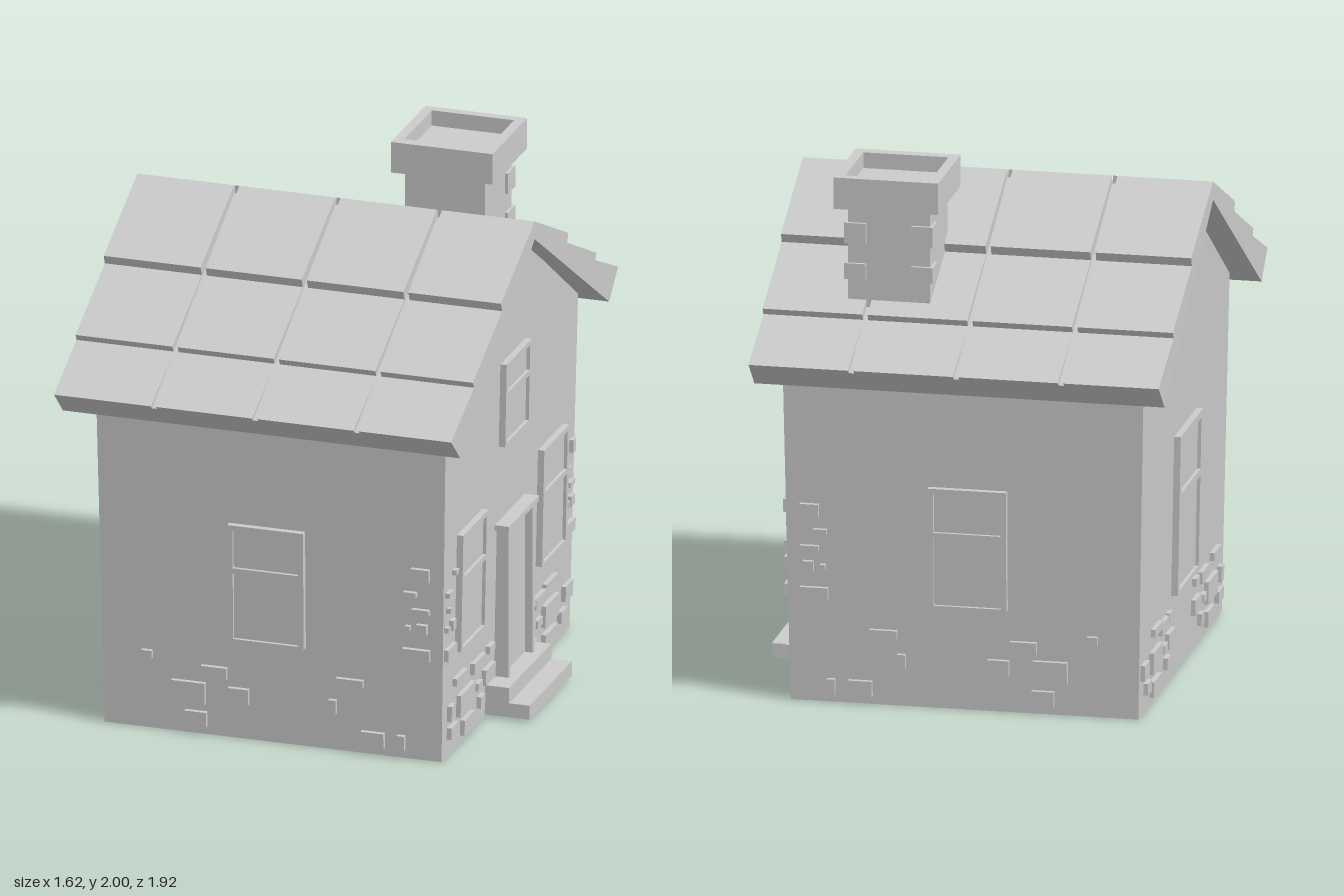
import * as THREE from 'three';

const mat = new THREE.MeshStandardMaterial({ color: 0xcccccc, flatShading: true });

function mesh(geo, name, parent) {
  const m = new THREE.Mesh(geo, mat);
  m.name = name;
  parent.add(m);
  return m;
}

// box given by its limits
function box(parent, name, x0, x1, y0, y1, z0, z1) {
  const m = mesh(new THREE.BoxGeometry(x1 - x0, y1 - y0, z1 - z0), name, parent);
  m.position.set((x0 + x1) / 2, (y0 + y1) / 2, (z0 + z1) / 2);
  return m;
}

function polygon(pts) {
  return new THREE.Shape(pts.map(p => new THREE.Vector2(p[0], p[1])));
}

const rect = (x0, x1, y0, y1) => [[x0, y0], [x1, y0], [x1, y1], [x0, y1]];

// (z, y) profile extruded along x from x0 to x1
function alongX(pts, x0, x1) {
  return new THREE.ExtrudeGeometry(polygon(pts), { depth: x1 - x0, bevelEnabled: false })
    .rotateY(-Math.PI / 2).translate(x1, 0, 0);
}

// flat plate with rectangular holes, facing +z
function plate(outer, holes, depth) {
  const s = polygon(outer);
  s.holes = holes.map(polygon);
  return new THREE.ExtrudeGeometry(s, { depth, bevelEnabled: false });
}

// two-pane window on a wall, x and y limits in the wall's own frame
function addWindow(wall, x0, x1, y0, y1) {
  const g = new THREE.Group();
  g.name = 'window';
  wall.add(g);
  const f = 0.07 * (x1 - x0), mid = y0 + 0.61 * (y1 - y0);
  mesh(plate(rect(x0, x1, y0, y1), [
    rect(x0 + f, x1 - f, y0 + f / 2, mid - f / 2),
    rect(x0 + f, x1 - f, mid + f / 2, y1 - f)], 0.035), 'windowFrame', g).position.z = -0.01;
  box(g, 'windowPane', x0 + f / 2, x1 - f / 2, y0 + f / 4, y1 - f / 2, -0.01, 0.012);
}

// bricks as [x0, x1, y0, y1] on a wall
function addBricks(wall, list) {
  for (const [x0, x1, y0, y1] of list) box(wall, 'brick', x0, x1, y0, y1, -0.02, 0.018);
}

// bricks along the eave walls, by x
const eaveBricks = [
  [-0.53, -0.49, 0.28, 0.31], [-0.30, -0.20, 0.23, 0.275], [-0.415, -0.285, 0.12, 0.205],
  [-0.195, -0.115, 0.14, 0.20], [-0.365, -0.28, 0.03, 0.09], [0.225, 0.33, 0.26, 0.29],
  [0.195, 0.225, 0.145, 0.20], [0.32, 0.41, 0.03, 0.09], [0.46, 0.49, 0.03, 0.09],
  [0.52, 0.59, 0.71, 0.76], [0.49, 0.54, 0.645, 0.665], [0.52, 0.59, 0.58, 0.60],
  [0.495, 0.515, 0.51, 0.53], [0.54, 0.58, 0.50, 0.54], [0.485, 0.59, 0.395, 0.44]];

// bricks along the foot of the gable walls, by z
const gableBricks = [
  [0.525, 0.65, 0.26, 0.29], [0.315, 0.445, 0.23, 0.275], [0.21, 0.27, 0.25, 0.28],
  [0.66, 0.705, 0.14, 0.20], [0.43, 0.60, 0.12, 0.205], [0.345, 0.40, 0.15, 0.18],
  [0.20, 0.31, 0.14, 0.20], [0.62, 0.705, 0.07, 0.115], [0.435, 0.55, 0.03, 0.09],
  [0.315, 0.365, 0.07, 0.115],
  [-0.515, -0.38, 0.26, 0.29], [-0.39, -0.265, 0.23, 0.275], [-0.26, -0.21, 0.25, 0.28],
  [-0.69, -0.605, 0.14, 0.20], [-0.535, -0.375, 0.12, 0.205], [-0.345, -0.285, 0.15, 0.18],
  [-0.26, -0.15, 0.14, 0.20], [-0.52, -0.38, 0.03, 0.09], [-0.285, -0.225, 0.07, 0.115],
  [-0.63, -0.56, 0.07, 0.115]];

// corner bricks higher up the door wall, by z
const cornerBricks = [
  [0.65, 0.68, 0.71, 0.73], [0.705, 0.755, 0.645, 0.665], [0.72, 0.74, 0.58, 0.60],
  [0.67, 0.705, 0.50, 0.54], [0.735, 0.76, 0.51, 0.53], [0.655, 0.755, 0.395, 0.44],
  [-0.69, -0.66, 0.71, 0.76], [-0.65, -0.60, 0.645, 0.665], [-0.69, -0.635, 0.58, 0.60],
  [-0.635, -0.615, 0.51, 0.53], [-0.69, -0.65, 0.50, 0.54], [-0.705, -0.605, 0.395, 0.44]];

export function createModel() {
  const house = new THREE.Group();
  house.name = 'house';

  // walls, leaning slightly outward towards the top
  const LEAN = 0.019;
  const body = alongX([[-0.71, 0], [0.76, 0], [0.76, 1.31], [0, 1.81], [-0.71, 1.31]], -0.68, 0.63);
  const p = body.attributes.position;
  for (let i = 0; i < p.count; i++) {
    const y = p.getY(i), z = p.getZ(i);
    p.setX(i, p.getX(i) + Math.sign(p.getX(i)) * LEAN * y);
    if (Math.abs(z) > 0.1) p.setZ(i, z + Math.sign(z) * LEAN * y);
  }
  body.computeVertexNormals();
  mesh(body, 'walls', house);

  // frames lying on each wall: local z points outward
  const wall = (name, x, z, turn) => {
    const g = new THREE.Group();
    g.name = name;
    g.position.set(x, 0, z);
    g.rotation.set(Math.atan(LEAN), turn, 0, 'YXZ');
    house.add(g);
    return g;
  };
  const front = wall('frontWallDetails', 0, 0.76, 0);
  const back = wall('backWallDetails', 0, -0.71, Math.PI);
  const left = wall('doorWallDetails', 0.63, 0, Math.PI / 2);
  const right = wall('rightWallDetails', -0.68, 0, -Math.PI / 2);
  const flip = list => list.map(([a, b, c, d]) => [-b, -a, c, d]);

  addBricks(front, eaveBricks);
  addBricks(back, flip(eaveBricks));
  addBricks(left, flip([...gableBricks, ...cornerBricks]));
  addBricks(right, gableBricks);

  addWindow(front, -0.19, 0.105, 0.39, 0.85);
  addWindow(back, -0.105, 0.19, 0.39, 0.85);
  addWindow(left, -0.63, -0.34, 0.39, 0.85);
  addWindow(left, 0.30, 0.59, 0.39, 0.85);
  addWindow(left, -0.16, 0.13, 1.03, 1.355);
  addWindow(right, -0.16, 0.235, 0.32, 0.93);

  // door with posts, lintel and two steps
  box(house, 'door', 0.6, 0.66, 0.1, 0.72, -0.12, 0.16);
  for (const z of [-0.13, 0.145]) box(house, 'doorPost', 0.6, 0.69, 0.1, 0.715, z, z + 0.02);
  box(house, 'doorLintel', 0.6, 0.7, 0.71, 0.73, -0.155, 0.19);
  box(house, 'upperStep', 0.6, 0.725, 0.01, 0.125, -0.22, 0.265);
  box(house, 'lowerStep', 0.6, 0.805, 0.01, 0.065, -0.22, 0.265);

  // roof slab
  const X0 = -0.81, X1 = 0.735;
  mesh(alongX([[0, 1.84], [0.945, 1.332], [0.855, 1.245], [0, 1.80],
    [-0.855, 1.245], [-0.945, 1.332]], X0, X1), 'roofSlab', house);

  // overlapping rows of roof panels with narrow seams
  const rows = [
    [[0, 1.87], [0.387, 1.685], [0.365, 1.63], [0, 1.825]],
    [[0.34, 1.667], [0.71, 1.49], [0.69, 1.455], [0.34, 1.64]],
    [[0.66, 1.482], [0.96, 1.345], [0.94, 1.327], [0.66, 1.465]]];
  for (const side of [1, -1]) {
    const seams = side > 0 ? [-0.423, -0.03, 0.365] : [-0.44, -0.045, 0.35];
    const starts = [X0, ...seams.map(s => s + 0.01)];
    const ends = [...seams.map(s => s - 0.01), X1];
    for (const row of rows) {
      const profile = row.map(([z, y]) => [z * side, y]);
      starts.forEach((s, i) => mesh(alongX(profile, s, ends[i]), 'roofPanel', house));
    }
  }

  // chimney shaft, hollow cap and corner bricks
  const chimney = new THREE.Group();
  chimney.name = 'chimney';
  house.add(chimney);
  box(chimney, 'chimneyShaft', 0.12, 0.43, 1.4, 1.94, -0.635, -0.33);
  const cap = plate(rect(0.08, 0.475, 0.285, 0.68), [rect(0.117, 0.437, 0.33, 0.643)], 0.12);
  mesh(cap.rotateX(-Math.PI / 2), 'chimneyCap', chimney).position.y = 1.88;
  box(chimney, 'chimneyCapFloor', 0.1, 0.455, 1.89, 1.94, -0.66, -0.31);
  for (const [y0, y1] of [[1.74, 1.82], [1.605, 1.665]]) {
    box(chimney, 'chimneyBrick', 0.36, 0.442, y0, y1, -0.648, -0.56);
    box(chimney, 'chimneyBrick', 0.108, 0.19, y0, y1, -0.648, -0.56);
  }
  return house;
}
